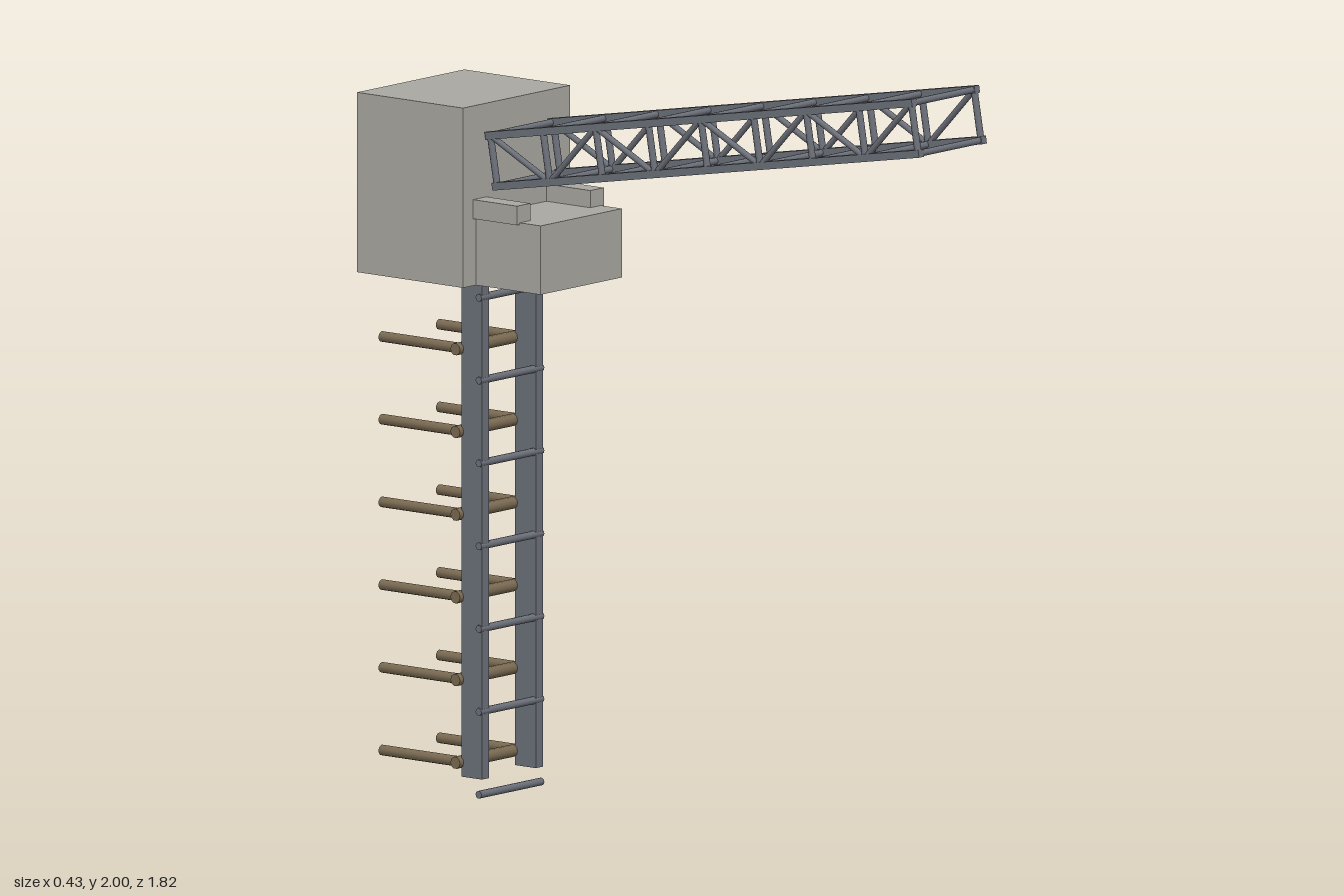
import * as THREE from 'three';

const mat = (name, color) => new THREE.MeshStandardMaterial({ name, color });

export function createModel() {
  const model = new THREE.Group();
  model.name = 'mastWithBoom';
  const concrete = mat('warm grey', 0xaaa8a1);
  const steel = mat('steel grey', 0x6c7079);
  const wood = mat('brown', 0x7a6a52);

  // Box given by its min and max corners
  const box = (parent, name, m, a, b) => {
    const mesh = new THREE.Mesh(new THREE.BoxGeometry(b[0] - a[0], b[1] - a[1], b[2] - a[2]), m);
    mesh.position.set((a[0] + b[0]) / 2, (a[1] + b[1]) / 2, (a[2] + b[2]) / 2);
    mesh.name = name;
    parent.add(mesh);
  };
  // Round bar between two points
  const bar = (parent, name, m, a, b, r) => {
    const p = new THREE.Vector3(...a), q = new THREE.Vector3(...b);
    const d = q.clone().sub(p);
    const mesh = new THREE.Mesh(new THREE.CylinderGeometry(r, r, d.length(), 10), m);
    mesh.position.copy(p).add(q).multiplyScalar(0.5);
    mesh.quaternion.setFromUnitVectors(new THREE.Vector3(0, 1, 0), d.normalize());
    mesh.name = name;
    parent.add(mesh);
  };

  // Cabin with the lower housing and two shoulder blocks
  const cabin = new THREE.Group();
  cabin.name = 'cabin';
  box(cabin, 'cabinBody', concrete, [-0.215, 1.35, -0.907], [0.215, 1.82, -0.552]);
  box(cabin, 'lowerHousing', concrete, [-0.163, 1.35, -0.552], [0.163, 1.53, -0.335]);
  for (const s of [-1, 1]) {
    box(cabin, 'shoulderBlock', concrete, [s * 0.147 - 0.027, 1.525, -0.552], [s * 0.147 + 0.027, 1.575, -0.405]);
  }
  model.add(cabin);

  // Ladder mast: two rails and evenly spaced rungs
  const mast = new THREE.Group();
  mast.name = 'mast';
  for (const s of [-1, 1]) {
    box(mast, 'rail', steel, [s * 0.108 - 0.014, 0.05, -0.635], [s * 0.108 + 0.014, 1.36, -0.566]);
  }
  for (let i = 0; i < 7; i++) {
    const y = 0.01 + i * 0.2165;
    bar(mast, 'rung', steel, [-0.126, y, -0.574], [0.126, y, -0.574], 0.01);
  }
  model.add(mast);

  // Crossbars behind the mast, each with two pegs pointing back
  const pegs = new THREE.Group();
  pegs.name = 'backPegs';
  for (let i = 0; i < 6; i++) {
    const y = 0.087 + i * 0.2162;
    bar(pegs, 'crossbar', wood, [-0.137, y, -0.643], [0.137, y, -0.643], 0.016);
    for (const s of [-1, 1]) bar(pegs, 'peg', wood, [s * 0.115, y, -0.643], [s * 0.115, y, -0.907], 0.014);
  }
  model.add(pegs);

  // Lattice boom, rising toward the front
  const boom = new THREE.Group();
  boom.name = 'boom';
  const L = 1.453, X = 0.126, Y = 0.066, t = 0.01, bays = 8;
  const node = (i) => (L / 2 - t) * (1 - (2 * i) / bays);
  for (const s of [-1, 1]) for (const v of [-1, 1]) {
    box(boom, 'chord', steel, [s * X - t, v * Y - t, -L / 2], [s * X + t, v * Y + t, L / 2]);
  }
  for (let i = 0; i <= bays; i++) {
    const z = node(i);
    for (const s of [-1, 1]) {
      bar(boom, 'post', steel, [s * X, -Y, z], [s * X, Y, z], 0.009);
      bar(boom, 'crossMember', steel, [-X, s * Y, z], [X, s * Y, z], 0.009);
      // Diagonals alternate direction from bay to bay
      if (i < bays) {
        const v = i % 2 ? -Y : Y;
        bar(boom, 'diagonal', steel, [s * X, v, z], [s * X, -v, node(i + 1)], 0.008);
      }
    }
  }
  boom.position.set(0, 1.798, 0.183);
  boom.rotation.x = -Math.PI / 18;
  model.add(boom);

  return model;
}
